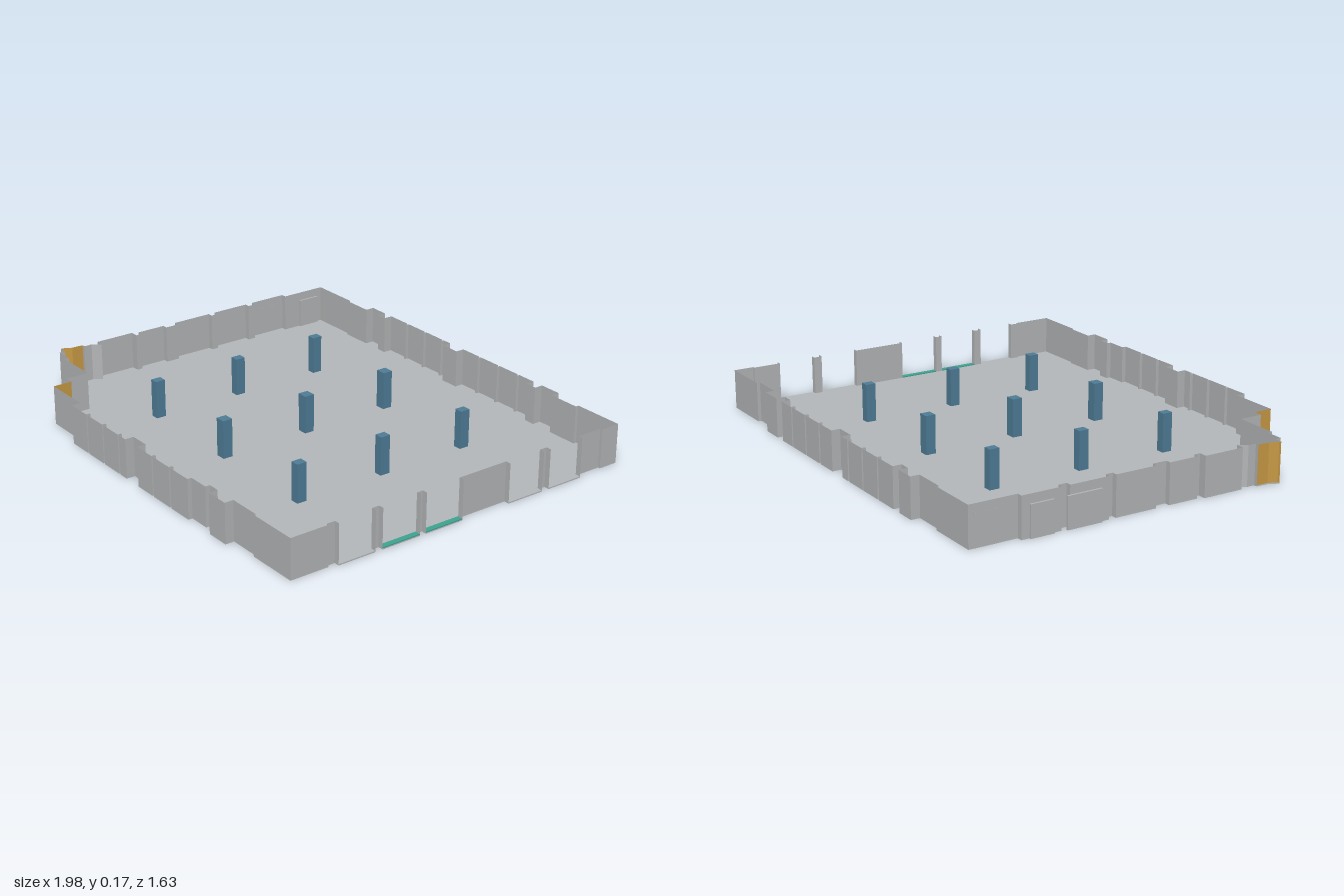
import * as THREE from 'three';

const HEIGHT = 0.167;
const SLAB = 0.005;

const mat = (name, color, side = THREE.FrontSide) => {
  const m = new THREE.MeshStandardMaterial({ color, side });
  m.name = name;
  return m;
};

// Row of shallow bays along a wall: each bay is [from, to], at coordinate `outer`,
// and the wall between bays sits at `inner`. alongX chooses the direction.
function bays(list, inner, outer, alongX, tag) {
  const pts = [];
  const put = (a, b, t) => pts.push(alongX ? [a, b, t] : [b, a, t]);
  for (const [from, to, ownTag] of list) {
    put(from, inner);
    put(from, outer, ownTag ?? tag);
    put(to, outer);
    put(to, inner);
  }
  return pts;
}

// Projecting panel split by narrow grooves
function groovedPanel(from, to, grooves, inner, outer) {
  const dir = Math.sign(to - from);
  const groove = outer - Math.sign(outer) * 0.014;
  const pts = [[from, inner], [from, outer]];
  for (const g of grooves) {
    pts.push([g - dir * 0.005, outer], [g - dir * 0.005, groove]);
    pts.push([g + dir * 0.005, groove], [g + dir * 0.005, outer]);
  }
  pts.push([to, outer], [to, inner]);
  return pts;
}

// Floor outline as [x, z, tag]; the tag describes the wall that starts at the point
function outline() {
  return [
    // back
    [-0.94, -0.793], [-0.72, -0.793], [-0.72, -0.782],
    ...groovedPanel(-0.585, -0.5, [], -0.782, -0.82),
    ...groovedPanel(-0.455, -0.055, [-0.34, -0.22, -0.105], -0.782, -0.82),
    ...groovedPanel(0.03, 0.465, [0.135, 0.255, 0.375], -0.782, -0.82),
    ...groovedPanel(0.515, 0.613, [], -0.782, -0.82),
    [0.75, -0.782], [0.75, -0.796], [0.97, -0.796], [0.97, -0.71], [0.96, -0.71],
    // left side with open window bays
    ...bays([[-0.59, -0.425], [-0.39, -0.22], [0.01, 0.185], [0.213, 0.387], [0.42, 0.585]],
      0.96, 0.983, false, 'open'),
    [0.96, 0.62], [0.97, 0.62], [0.97, 0.786],
    // front
    [0.75, 0.786], [0.75, 0.777],
    ...groovedPanel(0.615, 0.515, [], 0.777, 0.815),
    [0.465, 0.777], [0.465, 0.797], [0.375, 0.797],
    ...groovedPanel(0.375, 0.03, [0.255, 0.135], 0.777, 0.815).slice(1),
    ...groovedPanel(-0.055, -0.455, [-0.105, -0.22, -0.34], 0.777, 0.815),
    // notched corner with the two doors
    [-0.665, 0.777, 'door'], [-0.665, 0.695], [-0.703, 0.695], [-0.703, 0.595],
    [-0.89, 0.595], [-0.89, 0.576], [-0.965, 0.576], [-0.965, 0.55],
    [-0.999, 0.55, 'door'], [-0.999, 0.54, 'door'], [-0.982, 0.505, 'door'],
    [-0.98, 0.455], [-0.965, 0.455], [-0.965, 0.42],
    // right side
    ...bays([[0.385, 0.21]], -0.94, -0.975, false),
    ...bays([[0.185, 0.055], [-0.005, -0.185], [-0.215, -0.385], [-0.42, -0.59]],
      -0.94, -0.963, false),
  ];
}

// Upright sheets along the outline segments carrying a given tag
function wallSheet(points, tag) {
  const pos = [];
  points.forEach(([x0, z0, t], i) => {
    if (t !== tag) return;
    const [x1, z1] = points[(i + 1) % points.length];
    pos.push(x0, 0, z0, x0, HEIGHT, z0, x1, HEIGHT, z1,
      x0, 0, z0, x1, HEIGHT, z1, x1, 0, z1);
  });
  const g = new THREE.BufferGeometry();
  g.setAttribute('position', new THREE.Float32BufferAttribute(pos, 3));
  g.computeVertexNormals();
  return g;
}

export function createModel() {
  const model = new THREE.Group();
  model.name = 'hall';
  const floorMat = mat('floorGrey', 0xb5b9bb);
  const wallMat = mat('wallGrey', 0xb4b6b7, THREE.DoubleSide);
  const doorMat = mat('doorOchre', 0xc89a45, THREE.DoubleSide);
  const pillarMat = mat('pillarBlue', 0x4f7d97);
  const sillMat = mat('sillTeal', 0x3fa491);

  const add = (name, geometry, material) => {
    const mesh = new THREE.Mesh(geometry, material);
    mesh.name = name;
    model.add(mesh);
    return mesh;
  };
  const box = (name, material, w, h, d, x, y, z) =>
    add(name, new THREE.BoxGeometry(w, h, d), material).position.set(x, y + h / 2, z);

  // Floor slab
  const points = outline();
  const shape = new THREE.Shape(points.map(([x, z]) => new THREE.Vector2(x, z)));
  const floor = new THREE.ExtrudeGeometry(shape, { depth: SLAB, bevelEnabled: false });
  floor.rotateX(Math.PI / 2).translate(0, SLAB, 0);
  add('floor', floor, floorMat);

  // Perimeter walls and doors
  add('walls', wallSheet(points, undefined), wallMat);
  add('doors', wallSheet(points, 'door'), doorMat);

  // Pillars on a three by three grid
  for (const [x, w] of [[-0.47, 0.036], [0.01, 0.044], [0.5, 0.036]])
    for (const z of [-0.405, 0, 0.4])
      box('pillar', pillarMat, w, HEIGHT - SLAB, 0.043, x, SLAB, z);

  // Sills in two of the window bays
  for (const z of [0.0975, 0.3])
    box('windowSill', sillMat, 0.024, 0.004, 0.172, 0.972, SLAB, z);

  // Low panels along the right side
  for (const [x, z, d] of [[-0.968, -0.325, 0.15], [-0.967, -0.505, 0.1], [-0.936, -0.72, 0.1]])
    box('sidePanel', wallMat, 0.009, 0.13, d, x, 0, z);

  return model;
}
